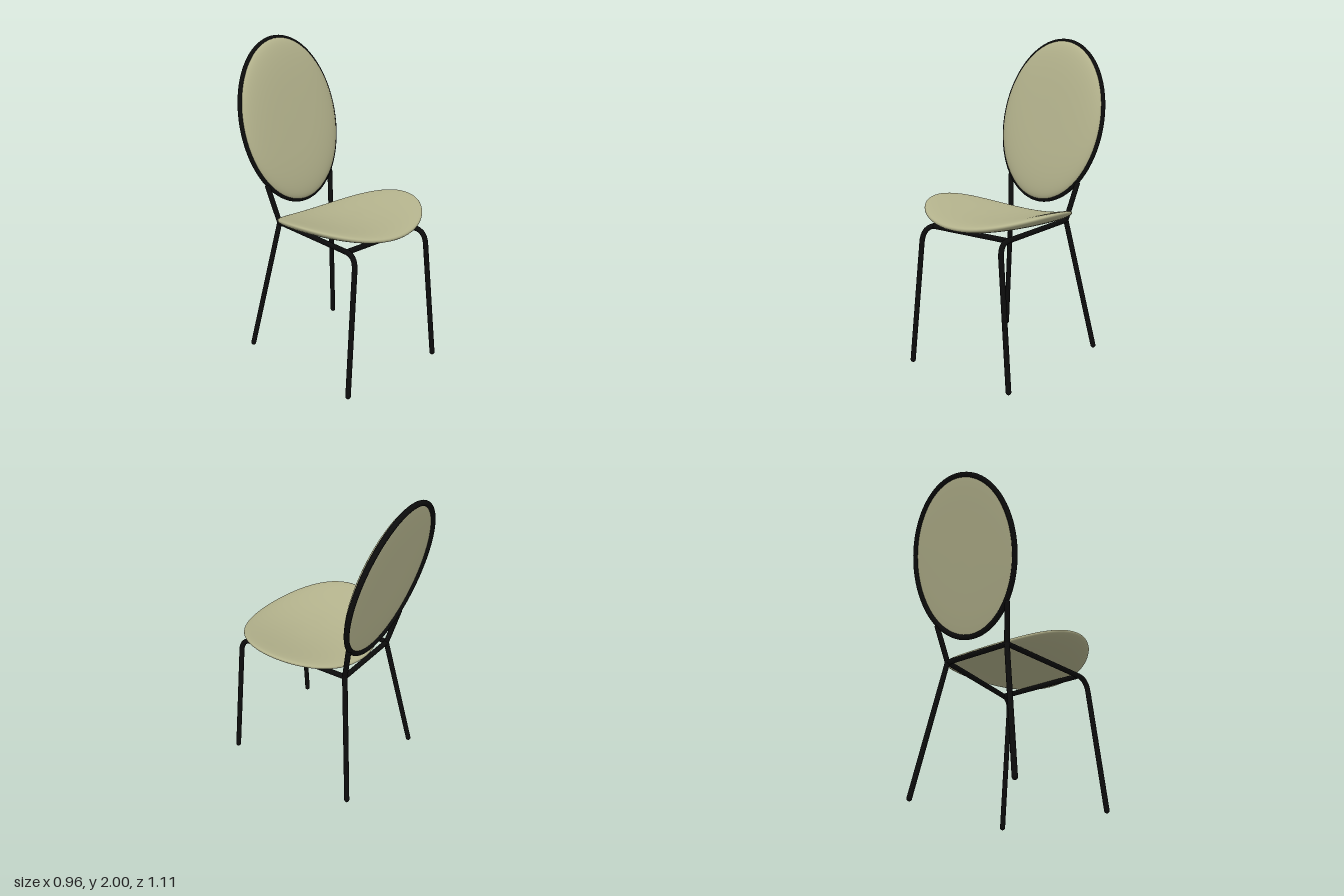
import * as THREE from 'three';
import { mergeGeometries, mergeVertices } from 'three/addons/utils/BufferGeometryUtils.js';

const V = (x, y, z) => new THREE.Vector3(x, y, z);
const R = 0.0165; // steel tube radius

// Round-ended tube through the given curve segments
function tube(segments, steps) {
  const path = new THREE.CurvePath();
  segments.forEach((s) => path.add(s));
  const parts = [new THREE.TubeGeometry(path, steps, R, 12)];
  for (const t of [0, 1]) {
    const p = path.getPoint(t);
    parts.push(new THREE.SphereGeometry(R, 12, 8).translate(p.x, p.y, p.z));
  }
  return mergeGeometries(parts);
}
const rod = (a, b) => tube([new THREE.LineCurve3(a, b)], 1);

// Elliptical cushion with a soft rim, lying flat in xz
function cushion(rx, rz, up, down) {
  const profile = [];
  const n = 32;
  for (let i = 0; i <= n; i++) {
    const a = (i / n - 0.5) * Math.PI;
    const s = Math.sin(a);
    const r = i === 0 || i === n ? 0 : Math.pow(Math.cos(a), 0.6);
    profile.push(new THREE.Vector2(r, Math.sign(s) * Math.pow(Math.abs(s), 0.8) * (s > 0 ? up : down)));
  }
  return new THREE.LatheGeometry(profile, 72).scale(rx, 1, rz);
}

export function createModel() {
  const fabric = new THREE.MeshStandardMaterial({ color: 0xb3b28c });
  fabric.name = 'oliveFabric';
  const steel = new THREE.MeshStandardMaterial({ color: 0x0c0c0c });
  steel.name = 'blackSteel';

  const chair = new THREE.Group();
  chair.name = 'chair';
  const add = (name, geometry, material, parent = chair) => {
    const mesh = new THREE.Mesh(geometry, material);
    mesh.name = name;
    parent.add(mesh);
    return mesh;
  };

  // Seat: sides curl upward, front slightly higher than the rear
  let seat = cushion(0.478, 0.408, 0.035, 0.035);
  const p = seat.attributes.position;
  for (let i = 0; i < p.count; i++) {
    const x = p.getX(i), z = p.getZ(i);
    p.setY(i, p.getY(i) + 0.908 + 0.45 * x * x + 0.05 * z);
    p.setZ(i, z + 0.147);
  }
  seat.deleteAttribute('normal');
  seat.deleteAttribute('uv');
  seat = mergeVertices(seat, 1e-5);
  seat.computeVertexNormals();
  add('seat', seat, fabric);

  // Legs, side rails and back supports, mirrored
  for (const [side, s] of [['left', 1], ['right', -1]]) {
    const rear = V(s * 0.225, 0.865, -0.265);
    const legTop = V(s * 0.312, 0.79, 0.492);
    const railFront = V(s * 0.295, 0.875, 0.41);
    add(side + 'FrontLegAndRail', tube([
      new THREE.LineCurve3(V(s * 0.387, R, 0.52), legTop),
      new THREE.QuadraticBezierCurve3(legTop, V(s * 0.303, 0.876, 0.488), railFront),
      new THREE.LineCurve3(railFront, rear),
    ], 80), steel);
    add(side + 'RearLeg', rod(V(s * 0.367, R, -0.393), rear), steel);
    add(side + 'BackSupport', rod(rear, V(s * 0.27, 1.1, -0.321)), steel);
  }

  // Cross bars under the seat
  add('frontCrossBar', rod(V(-0.295, 0.875, 0.41), V(0.295, 0.875, 0.41)), steel);
  add('rearCrossBar', rod(V(-0.225, 0.865, -0.265), V(0.225, 0.865, -0.265)), steel);

  // Reclined oval backrest
  const backrest = new THREE.Group();
  backrest.name = 'backrest';
  backrest.position.set(0, 1.477, -0.412);
  backrest.rotation.x = -0.239;
  chair.add(backrest);

  const oval = [];
  for (let i = 0; i < 32; i++) {
    const a = (i / 32) * Math.PI * 2;
    oval.push(V(0.381 * Math.cos(a), 0.521 * Math.sin(a), 0));
  }
  const ring = new THREE.CatmullRomCurve3(oval, true);
  add('backRing', new THREE.TubeGeometry(ring, 96, R, 12, true), steel, backrest);
  add('backCushion', cushion(0.384, 0.522, 0.056, 0.008).rotateX(Math.PI / 2).translate(0, 0, 0.004), fabric, backrest);

  return chair;
}
